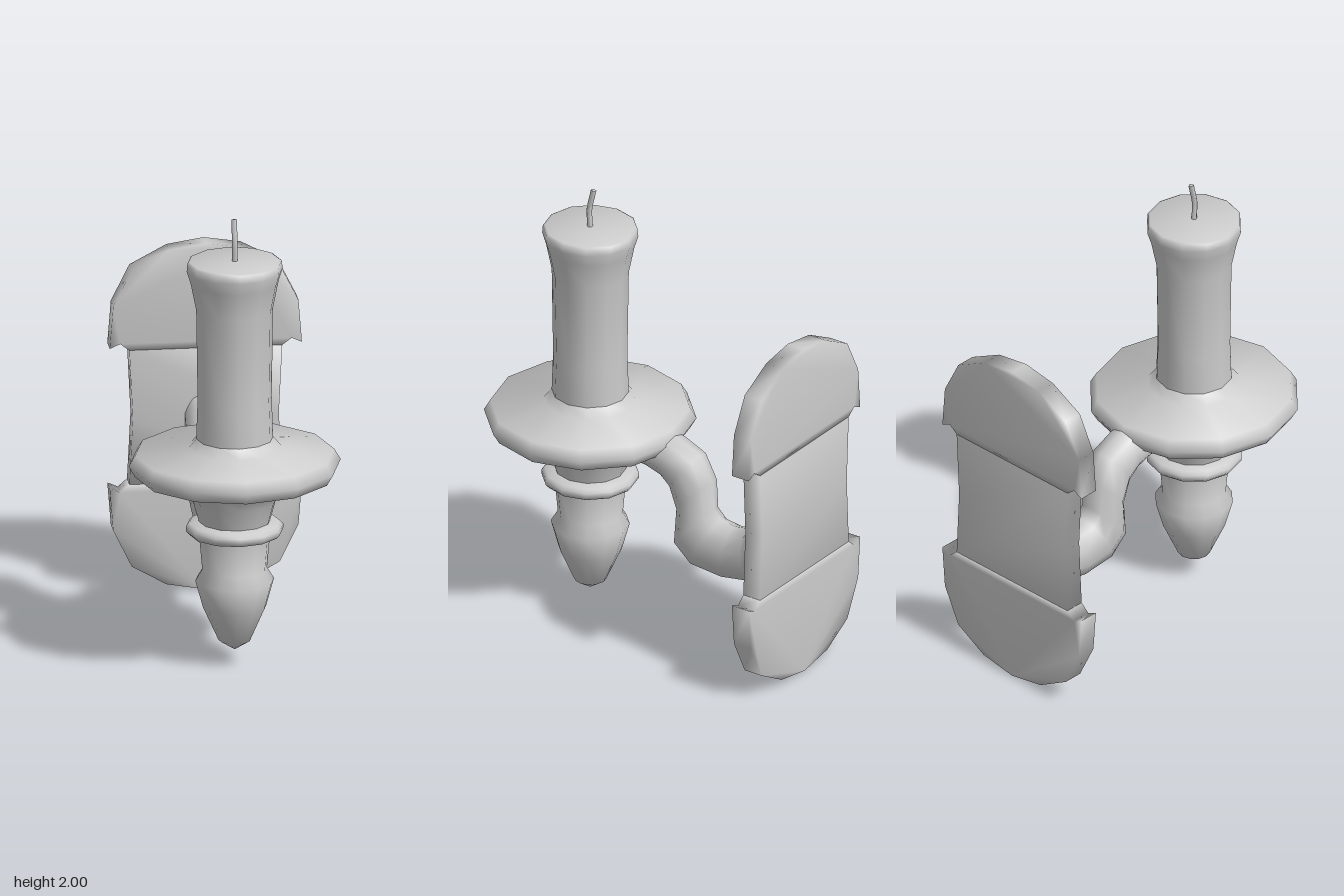
import * as THREE from 'three';
import { mergeVertices, toCreasedNormals } from 'three/addons/utils/BufferGeometryUtils.js';

const material = new THREE.MeshStandardMaterial({ color: 0xcccccc });
const CANDLE_Z = 0.33;
const SIDES = 12;

function addMesh(parent, name, geometry) {
  const mesh = new THREE.Mesh(geometry, material);
  mesh.name = name;
  parent.add(mesh);
  return mesh;
}

// Turned part; the profile runs from bottom to top as [radius, y]
function turned(profile) {
  const points = profile.map(([r, y]) => new THREE.Vector2(r, y));
  return toCreasedNormals(new THREE.LatheGeometry(points, SIDES), 1.2);
}

// Arm swept through elliptical sections, each given by its upper and lower edge [z, y]
function armGeometry(sections, halfWidth, sides) {
  const positions = [], index = [];
  for (const [zu, yu, zl, yl] of sections) {
    for (let j = 0; j < sides; j++) {
      const a = (j / sides) * Math.PI * 2;
      const t = (1 + Math.cos(a)) / 2;
      positions.push(halfWidth * Math.sin(a), yl + (yu - yl) * t, zl + (zu - zl) * t);
    }
  }
  for (let i = 0; i < sections.length - 1; i++) {
    for (let j = 0; j < sides; j++) {
      const k = (j + 1) % sides;
      const a = i * sides + j, b = i * sides + k;
      index.push(a, b, a + sides, b, b + sides, a + sides);
    }
  }
  const geometry = new THREE.BufferGeometry();
  geometry.setAttribute('position', new THREE.Float32BufferAttribute(positions, 3));
  geometry.setIndex(index);
  geometry.computeVertexNormals();
  return geometry;
}

// Slab with soft shading; the right half outline is mirrored to the left
function slab(half) {
  const mirrored = half.filter(([x]) => x > 0).reverse().map(([x, y]) => [-x, y]);
  const outline = [...half, ...mirrored].map(([x, y]) => new THREE.Vector2(x, y));
  const extruded = new THREE.ExtrudeGeometry(new THREE.Shape(outline), { depth: 0.088, bevelEnabled: false });
  extruded.deleteAttribute('normal');
  extruded.deleteAttribute('uv');
  const geometry = mergeVertices(extruded);
  geometry.computeVertexNormals();
  return geometry;
}

export function createModel() {
  const group = new THREE.Group();
  group.name = 'wallCandleSconce';

  // Candle holder, turned around one vertical axis
  const holder = new THREE.Group();
  holder.name = 'candleHolder';
  holder.position.z = CANDLE_Z;
  group.add(holder);

  addMesh(holder, 'finial', turned([
    [0, 0.065], [0.07, 0.11], [0.137, 0.26], [0.17, 0.38], [0.14, 0.43], [0.155, 0.6],
  ]));
  addMesh(holder, 'collarRing', turned([
    [0.14, 0.585], [0.195, 0.588], [0.21, 0.605], [0.21, 0.625], [0.195, 0.64], [0.14, 0.65],
  ]));
  // Cup, drip pan and candle foot flow into one another
  addMesh(holder, 'cupAndDripPan', turned([
    [0.15, 0.63], [0.18, 0.74], [0.215, 0.8], [0.25, 0.835],
    [0.43, 0.857], [0.458, 0.905], [0.43, 0.953], [0.2, 0.978], [0.166, 1.02],
  ]));
  addMesh(holder, 'candle', turned([
    [0.166, 1.02], [0.16, 1.2], [0.166, 1.6],
    [0.19, 1.72], [0.207, 1.775], [0.204, 1.81], [0.194, 1.816], [0, 1.816],
  ]));

  // Slightly bent wick
  const wickPath = new THREE.CatmullRomCurve3([
    new THREE.Vector3(0, 1.8, 0),
    new THREE.Vector3(0, 1.9, 0.004),
    new THREE.Vector3(0, 1.95, -0.007),
    new THREE.Vector3(0, 1.997, -0.018),
  ]);
  addMesh(holder, 'wick', new THREE.TubeGeometry(wickPath, 6, 0.012, 6));
  const tip = addMesh(holder, 'wickTip', new THREE.SphereGeometry(0.012, 6, 4));
  tip.position.set(0, 1.988, -0.017);

  // S-shaped arm from the pan to the wall plate
  addMesh(group, 'arm', armGeometry([
    [0.2, 0.92, 0.2, 0.79],
    [0.0, 0.94, 0.0, 0.765],
    [-0.13, 0.93, -0.07, 0.74],
    [-0.25, 0.88, -0.11, 0.7],
    [-0.31, 0.77, -0.145, 0.6],
    [-0.32, 0.64, -0.13, 0.43],
    [-0.36, 0.6, -0.22, 0.35],
    [-0.43, 0.59, -0.39, 0.335],
    [-0.5, 0.6, -0.54, 0.36],
    [-0.545, 0.66, -0.62, 0.45],
    [-0.61, 0.8, -0.7, 0.57],
    [-0.66, 0.87, -0.73, 0.62],
    [-0.73, 0.895, -0.75, 0.68],
  ], 0.095, 10));

  // Wall plate: two rounded lobes joined by a narrower waist
  const plate = new THREE.Group();
  plate.name = 'wallPlate';
  plate.position.z = -0.793;
  group.add(plate);
  addMesh(plate, 'lowerLobe', slab([
    [0, 0], [0.17, 0.03], [0.32, 0.115], [0.4, 0.28], [0.415, 0.47], [0.37, 0.45], [0.33, 0.485],
  ]));
  addMesh(plate, 'waist', slab([[0.33, 0.485], [0.315, 0.785], [0.33, 1.09]]));
  addMesh(plate, 'upperLobe', slab([
    [0.33, 1.09], [0.37, 1.12], [0.415, 1.1], [0.4, 1.29], [0.32, 1.45], [0.16, 1.535], [0, 1.56],
  ]));

  return group;
}
